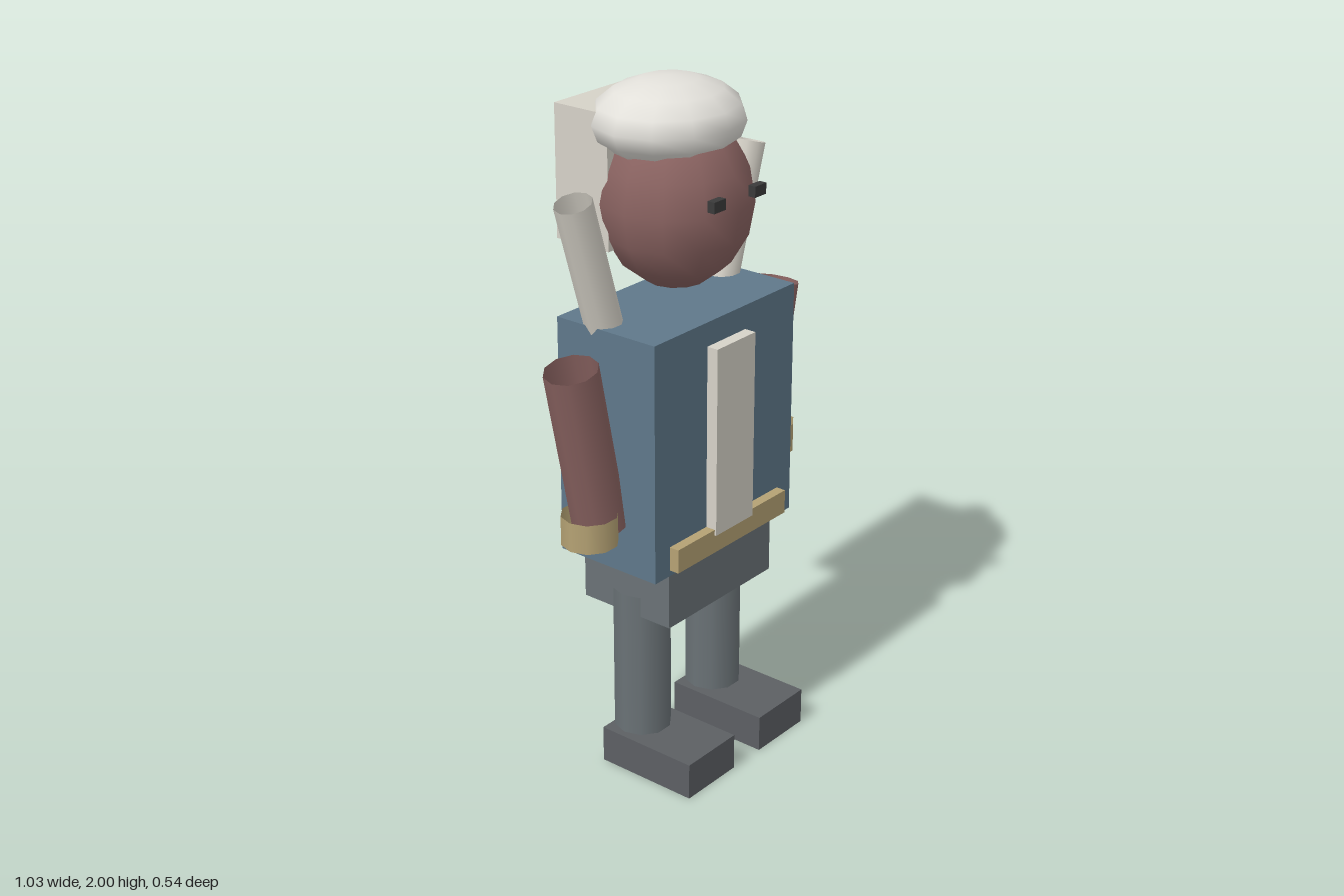
import * as THREE from 'three';

const mat = (color, open) => new THREE.MeshStandardMaterial({
  color, roughness: 0.9, side: open ? THREE.DoubleSide : THREE.FrontSide,
});
const SKIN = 0x8a6361, CREAM = 0xd6d2c8, BLUE = 0x5f788a, GREY = 0x6a7276, SHOE = 0x5c5f63, TAN = 0xb5a274, DARK = 0x3a3a3a;

export function createModel() {
  const model = new THREE.Group();
  model.name = 'figure';

  const add = (name, geometry, material, x, y, z) => {
    const mesh = new THREE.Mesh(geometry, material);
    mesh.name = name;
    mesh.position.set(x, y, z);
    model.add(mesh);
    return mesh;
  };
  // Box given by its limits on each axis
  const box = (name, color, [x0, x1], [y0, y1], [z0, z1]) =>
    add(name, new THREE.BoxGeometry(x1 - x0, y1 - y0, z1 - z0), mat(color),
      (x0 + x1) / 2, (y0 + y1) / 2, (z0 + z1) / 2);
  // Ellipsoid with a coarse smooth mesh
  const ellipsoid = (name, color, y, z, rx, ry, rz) =>
    add(name, new THREE.SphereGeometry(1, 12, 8), mat(color), 0, y, z).scale.set(rx, ry, rz);
  // Open ten-sided tube between two points in a plane of constant z
  const tube = (name, color, r, [xa, ya], [xb, yb], z) => {
    const length = Math.hypot(xb - xa, yb - ya);
    const geometry = new THREE.CylinderGeometry(r, r, length, 10, 1, true, Math.PI / 2);
    const mesh = add(name, geometry, mat(color, true), (xa + xb) / 2, (ya + yb) / 2, z);
    mesh.rotation.z = -Math.atan2(xb - xa, yb - ya);
  };

  // Body and clothing
  box('torso', BLUE, [-0.305, 0.305], [0.675, 1.375], [-0.162, 0.178]);
  box('pelvis', GREY, [-0.23, 0.23], [0.5, 0.7], [-0.145, 0.165]);
  box('belt', TAN, [-0.243, 0.243], [0.693, 0.764], [0.15, 0.208]);
  box('frontPanel', CREAM, [-0.083, 0.083], [0.747, 1.305], [0.16, 0.213]);

  // Head, cap of hair and the block behind it
  ellipsoid('head', SKIN, 1.668, 0, 0.215, 0.25, 0.217);
  ellipsoid('hair', 0xe2e0da, 1.883, -0.024, 0.225, 0.117, 0.205);
  box('hairBlock', CREAM, [-0.18, 0.18], [1.54, 1.92], [-0.27, -0.085]);

  // Mirrored parts
  for (const [side, s] of [['left', 1], ['right', -1]]) {
    const span = (a, b) => (s > 0 ? [a, b] : [-b, -a]);
    box(side + 'Eye', DARK, span(0.063, 0.111), [1.694, 1.725], [0.197, 0.22]);
    tube(side + 'ShoulderTube', CREAM, 0.053, [s * 0.243, 1.33], [s * 0.368, 1.735], -0.04);
    tube(side + 'Arm', SKIN, 0.076, [s * 0.335, 0.815], [s * 0.44, 1.307], 0.006);
    tube(side + 'WristBand', TAN, 0.08, [s * 0.398, 0.794], [s * 0.398, 0.88], 0.025);
    tube(side + 'Leg', GREY, 0.084, [s * 0.163, 0.02], [s * 0.163, 0.56], 0.01);
    box(side + 'Shoe', SHOE, span(0.06, 0.267), [0, 0.11], [-0.053, 0.268]);
  }
  return model;
}
